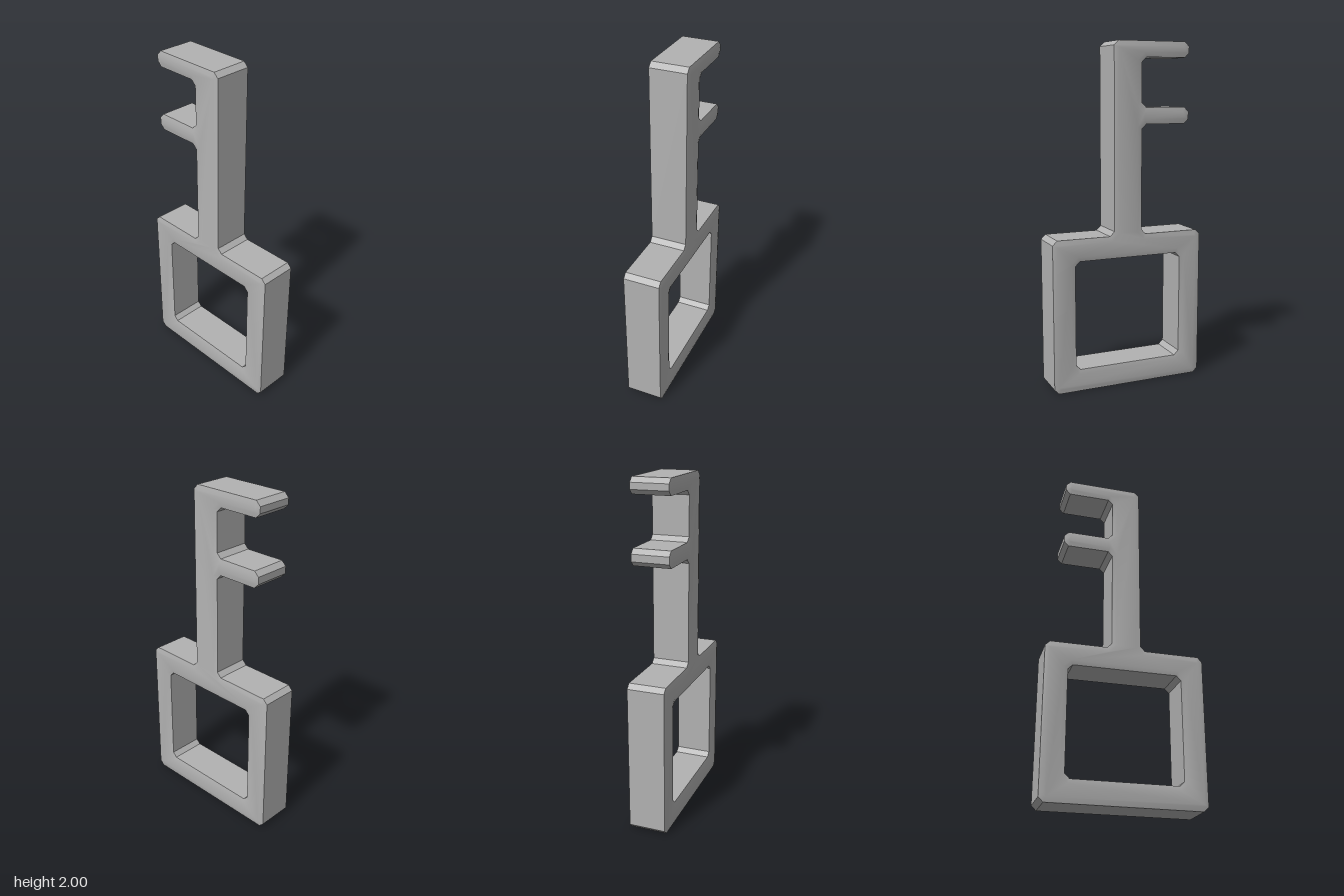
import * as THREE from 'three';
import { toCreasedNormals } from 'three/addons/utils/BufferGeometryUtils.js';

const CHAMFER = 0.027;   // cut on every corner of the profile
const EDGE = 0.006;      // shallow slope on the side faces
const HALF = 0.114;      // half the width

// Traces a closed polygon, cutting each corner at 45 degrees.
function chamfered(corners, PathType) {
  const points = [];
  corners.forEach(([x, y], i) => {
    const corner = new THREE.Vector2(x, y);
    for (const step of [-1, 1]) {
      const next = new THREE.Vector2(...corners[(i + step + corners.length) % corners.length]);
      points.push(next.sub(corner).setLength(CHAMFER).add(corner));
    }
  });
  return new PathType(points);
}

export function createModel() {
  const group = new THREE.Group();
  const gray = new THREE.MeshStandardMaterial({ color: 0xb2b2b2 });
  gray.name = 'gray';

  // Side profile: square frame, upright stem and two prongs pointing back.
  const profile = chamfered([
    [-0.463, 0], [0.463, 0], [0.463, 0.9], [0.08, 0.9],
    [0.08, 1.535], [0.377, 1.535], [0.377, 1.63], [0.08, 1.63],
    [0.08, 1.91], [0.377, 1.91], [0.377, 2], [-0.09, 2],
    [-0.09, 0.9], [-0.463, 0.9],
  ], THREE.Shape);

  // Window through the frame.
  profile.holes.push(chamfered([
    [-0.33, 0.13], [-0.33, 0.77], [0.33, 0.77], [0.33, 0.13],
  ], THREE.Path));

  const depth = 2 * (HALF - EDGE);
  const solid = new THREE.ExtrudeGeometry(profile, {
    depth, bevelThickness: EDGE, bevelSize: CHAMFER, bevelOffset: -CHAMFER, bevelSegments: 1,
  });
  solid.translate(0, 0, -depth / 2);
  solid.rotateY(Math.PI / 2);

  // Soften only the shallow side slopes; the chamfers stay sharp.
  const holder = new THREE.Mesh(toCreasedNormals(solid, Math.PI / 6), gray);
  holder.name = 'prongedHolder';
  group.add(holder);
  return group;
}
